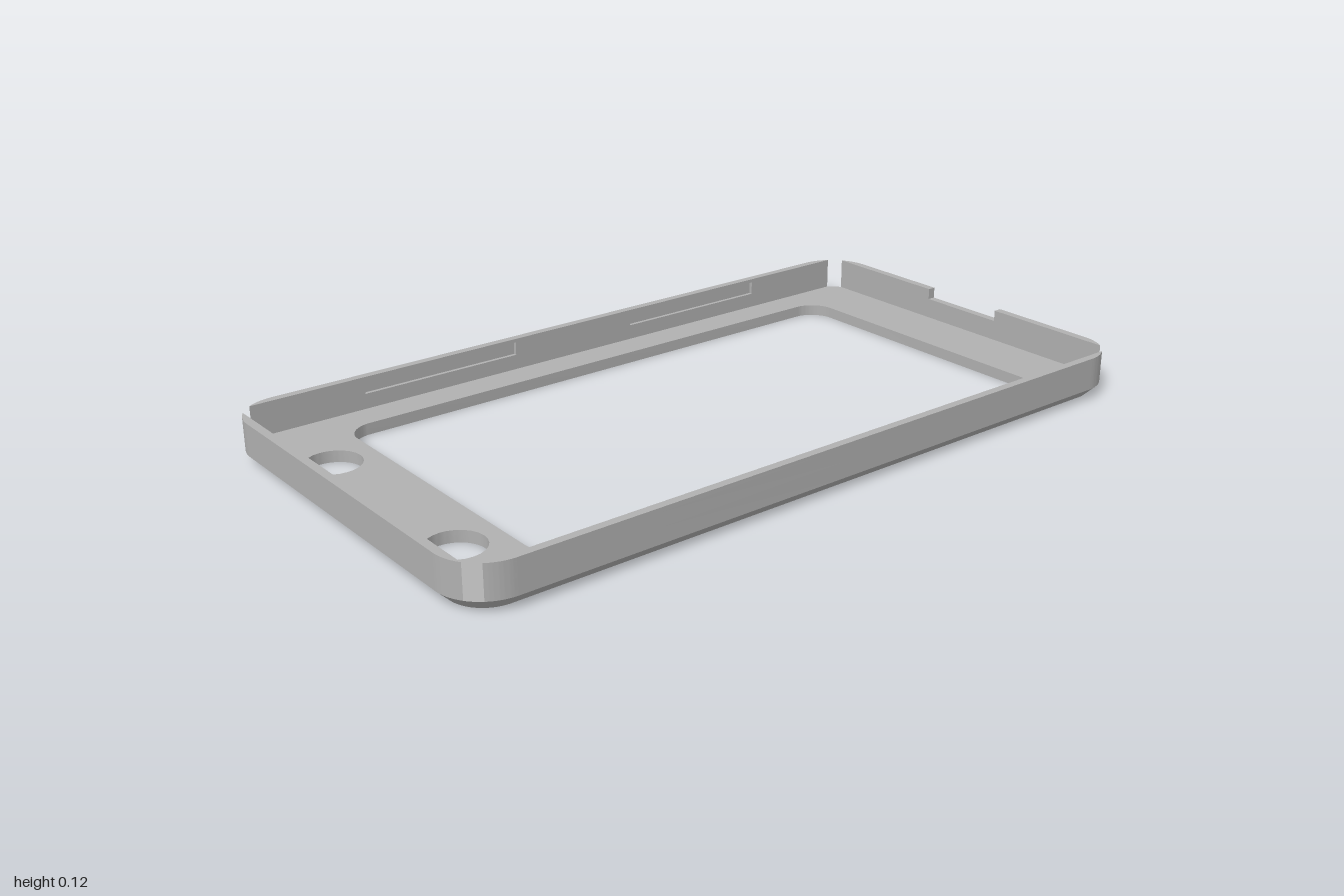
import * as THREE from 'three';
import { toCreasedNormals } from 'three/addons/utils/BufferGeometryUtils.js';

const HX = 1, HZ = 0.541, R = 0.12;        // outer half sizes and corner radius
const IX = 0.978, IZ = 0.52;               // square-cornered cavity half sizes
const FLOOR = 0.03, TOP = 0.115, CHAMFER = 0.03;
const CX = HX - R, CZ = HZ - R, Q = Math.PI / 2;

// Rounded rectangle, counter-clockwise
function roundedRect(path, x0, x1, y0, y1, r) {
  path.absarc(x1 - r, y0 + r, r, -Q, 0);
  path.absarc(x1 - r, y1 - r, r, 0, Q);
  path.absarc(x0 + r, y1 - r, r, Q, 2 * Q);
  path.absarc(x0 + r, y0 + r, r, 2 * Q, 3 * Q);
  path.closePath();
  return path;
}

// Side surface joining two matching counter-clockwise plan loops
function band(low, yLow, high, yHigh, inward) {
  const pos = [];
  for (let i = 0; i < low.length; i++) {
    const j = (i + 1) % low.length;
    const a = [low[i].x, yLow, -low[i].y], b = [low[j].x, yLow, -low[j].y];
    const c = [high[j].x, yHigh, -high[j].y], d = [high[i].x, yHigh, -high[i].y];
    if (inward) pos.push(...a, ...c, ...b, ...a, ...d, ...c);
    else pos.push(...a, ...b, ...c, ...a, ...c, ...d);
  }
  const g = new THREE.BufferGeometry();
  g.setAttribute('position', new THREE.Float32BufferAttribute(pos, 3));
  return toCreasedNormals(g, 0.5);
}

// Plan shape raised between two heights
function slab(shape, y0, y1) {
  const g = new THREE.ExtrudeGeometry(shape, { depth: y1 - y0, bevelEnabled: false, curveSegments: 12 });
  g.rotateX(-Q);
  g.translate(0, y0, 0);
  return toCreasedNormals(g, 0.5);
}

// Long wall plan, with optional latch recesses on its inner face
function longWallPlan(recessed) {
  const a = Math.asin((IZ - CZ) / R);
  const s = new THREE.Shape();
  s.absarc(CX, CZ, R, a, Q);
  s.absarc(-CX, CZ, R, Q, 2 * Q - a);
  if (recessed) {
    for (const [x0, x1] of [[-0.64, -0.19], [0.19, 0.64]]) {
      s.lineTo(x0, IZ);
      s.lineTo(x0, IZ + 0.01);
      s.lineTo(x1, IZ + 0.01);
      s.lineTo(x1, IZ);
    }
  }
  s.closePath();
  return s;
}

// End wall plans: full length, or two pieces beside a central notch
const END = Math.acos((IX - CX) / R), NOTCH = 0.125;
function endWallPlan() {
  const s = new THREE.Shape();
  s.absarc(CX, -CZ, R, -END, 0);
  s.absarc(CX, CZ, R, 0, END);
  s.closePath();
  return s;
}
function notchedEndPlans() {
  const a = new THREE.Shape(), b = new THREE.Shape();
  a.moveTo(IX, NOTCH);
  a.lineTo(HX, NOTCH);
  a.absarc(CX, CZ, R, 0, END);
  a.closePath();
  b.absarc(CX, -CZ, R, -END, 0);
  b.lineTo(HX, -NOTCH);
  b.lineTo(IX, -NOTCH);
  b.closePath();
  return [a, b];
}

export function createModel() {
  const model = new THREE.Group();
  model.name = 'bezelFrame';
  const grey = new THREE.MeshStandardMaterial({ color: 0xb0b0b0 });
  grey.name = 'grey plastic';
  const add = (parent, name, geometry) => {
    const m = new THREE.Mesh(geometry, grey);
    m.name = name;
    parent.add(m);
  };

  // Floor plate with chamfered underside, window and two round holes
  const floor = new THREE.Group();
  floor.name = 'floorPlate';
  model.add(floor);
  const cutouts = [roundedRect(new THREE.Path(), -0.75, 0.813, -0.432, 0.432, 0.07)];
  for (const z of [-0.272, 0.272]) {
    cutouts.push(new THREE.Path().absarc(-0.862, z, 0.07, 0, 4 * Q));
  }
  const plan = inset => {
    const s = roundedRect(new THREE.Shape(), -HX + inset, HX - inset, -HZ + inset, HZ - inset, R - inset);
    s.holes = cutouts;
    return s;
  };
  const topPlan = plan(0), bottomPlan = plan(CHAMFER);
  const topFace = new THREE.ShapeGeometry(topPlan, 12).rotateX(-Q).translate(0, FLOOR, 0);
  const bottomFace = new THREE.ShapeGeometry(bottomPlan, 12).rotateX(Q);
  add(floor, 'floorTop', topFace);
  add(floor, 'floorUnderside', bottomFace);
  add(floor, 'chamfer', band(bottomPlan.getPoints(12), 0, topPlan.getPoints(12), FLOOR, false));
  cutouts.forEach((c, i) => {
    const pts = c.getPoints(i ? 32 : 12);
    add(floor, i ? 'holeSide' : 'windowSide', band(pts, 0, pts, FLOOR, true));
  });

  // Front and back walls, recessed inside below the rim
  for (const [name, turn] of [['backWall', 0], ['frontWall', Math.PI]]) {
    const wall = new THREE.Group();
    wall.name = name;
    wall.rotation.y = turn;
    add(wall, 'wallBase', slab(longWallPlan(false), FLOOR, 0.07));
    add(wall, 'wallRecessed', slab(longWallPlan(true), 0.07, 0.105));
    add(wall, 'wallRim', slab(longWallPlan(false), 0.105, TOP));
    model.add(wall);
  }

  // Left wall with a notch in its rim
  const left = new THREE.Group();
  left.name = 'leftWall';
  add(left, 'wallBase', slab(endWallPlan(), FLOOR, 0.085));
  for (const s of notchedEndPlans()) add(left, 'wallRim', slab(s, 0.085, TOP));
  model.add(left);

  // Plain right wall
  add(model, 'rightWall', slab(endWallPlan(), FLOOR, TOP).rotateY(Math.PI));
  return model;
}
